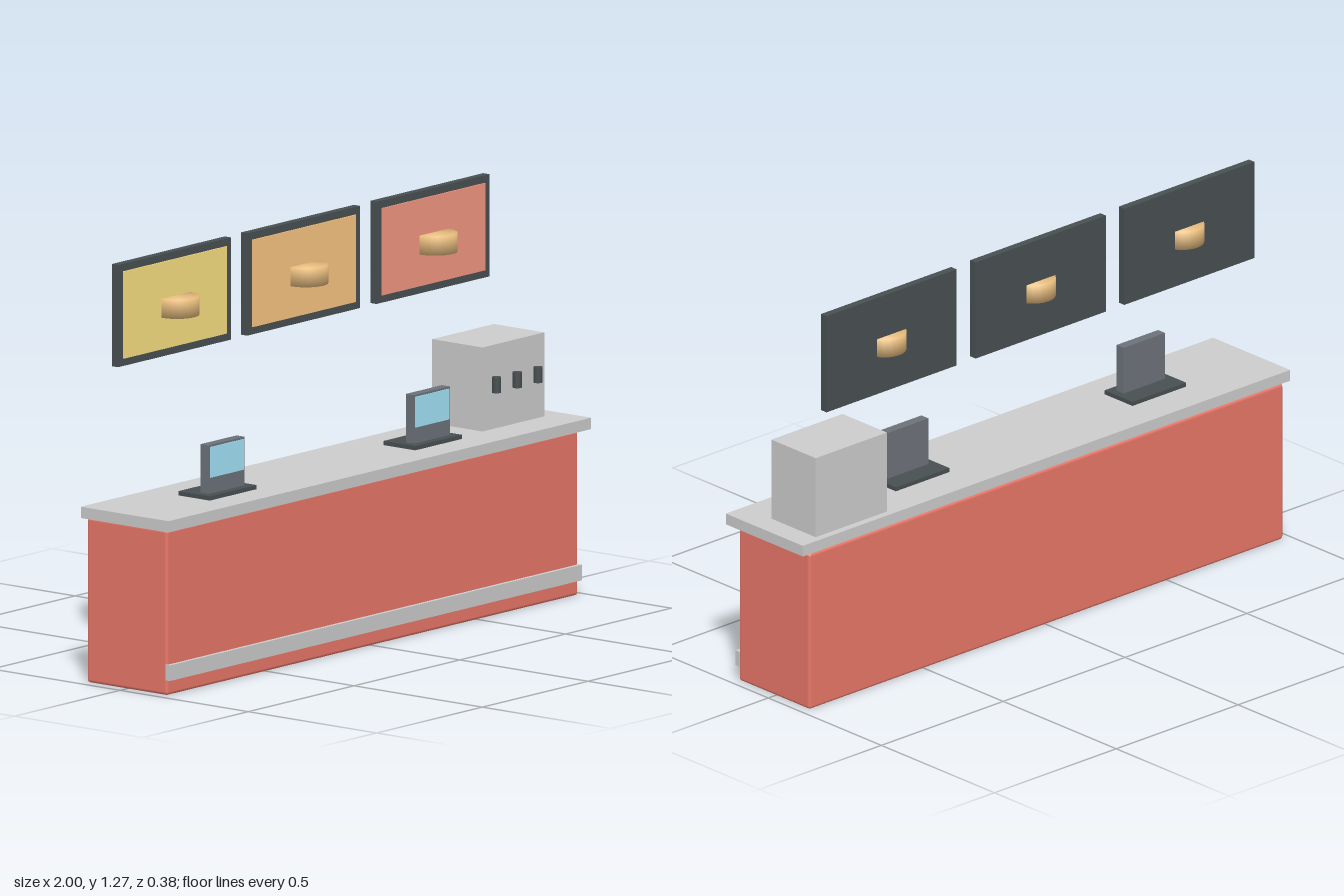
import * as THREE from 'three';
import { RoundedBoxGeometry } from 'three/addons/geometries/RoundedBoxGeometry.js';

const mat = (color) => new THREE.MeshStandardMaterial({ color });
const grey = mat(0xcccccc);
const red = mat(0xe87668);
const dark = mat(0x484f52);
const casing = mat(0x6c7279);
const glass = mat(0xa1e2f5);
const bun = mat(0xe6bb7c);

function add(parent, name, geometry, material) {
  const mesh = new THREE.Mesh(geometry, material);
  mesh.name = name;
  parent.add(mesh);
  return mesh;
}

// Box given by its extents along each axis
function box(parent, name, [x0, x1], [y0, y1], [z0, z1], material) {
  const mesh = add(parent, name, new THREE.BoxGeometry(x1 - x0, y1 - y0, z1 - z0), material);
  mesh.position.set((x0 + x1) / 2, (y0 + y1) / 2, (z0 + z1) / 2);
  return mesh;
}

function group(parent, name, x) {
  const g = new THREE.Group();
  g.name = name;
  g.position.x = x;
  parent.add(g);
  return g;
}

export function createModel() {
  const model = new THREE.Group();
  model.name = 'serviceCounter';

  // Counter body with softened edges, top slab and foot rail
  const body = add(model, 'counterBody', new RoundedBoxGeometry(1.946, 0.508, 0.314, 2, 0.01), red);
  body.position.set(0, 0.258, 0.004);
  box(model, 'counterTop', [-1, 1], [0.513, 0.548], [-0.153, 0.188], grey);
  box(model, 'footRail', [-0.974, 0.974], [0.051, 0.099], [0.155, 0.173], grey);

  // Order terminals
  for (const x of [-0.573, 0.398]) {
    const t = group(model, 'terminal', x);
    box(t, 'terminalBase', [-0.11, 0.11], [0.547, 0.561], [-0.034, 0.089], dark);
    box(t, 'terminalCase', [-0.085, 0.085], [0.561, 0.71], [0.032, 0.063], casing);
    box(t, 'terminalScreen', [-0.079, 0.079], [0.61, 0.704], [0.06, 0.066], glass);
  }

  // Drinks machine with three upright taps
  const machine = group(model, 'drinksMachine', 0.78);
  box(machine, 'machineBody', [-0.146, 0.146], [0.548, 0.806], [-0.13, 0.066], grey);
  for (const x of [-0.098, 0, 0.098]) {
    const tap = add(machine, 'tap', new THREE.CylinderGeometry(0.014, 0.014, 0.048, 16), dark);
    tap.position.set(x, 0.686, 0.081);
  }

  // Menu boards, each with a round bun set through the panel
  const bunProfile = [[0, -0.029], [0.068, -0.029], [0.068, 0.029], [0, 0.029]]
    .map(([r, y]) => new THREE.Vector2(r, y));
  const panels = [[-0.586, 0xf8df80], [0.024, 0xf8c381], [0.636, 0xf29681]];
  for (const [x, color] of panels) {
    const board = group(model, 'menuBoard', x);
    box(board, 'boardFrame', [-0.267, 0.267], [0.956, 1.27], [-0.153, -0.129], dark);
    box(board, 'boardPanel', [-0.244, 0.244], [0.979, 1.247], [-0.135, -0.125], mat(color));
    const b = add(board, 'bun', new THREE.LatheGeometry(bunProfile, 24), bun);
    b.position.set(0, 1.106, -0.12);
  }

  return model;
}
